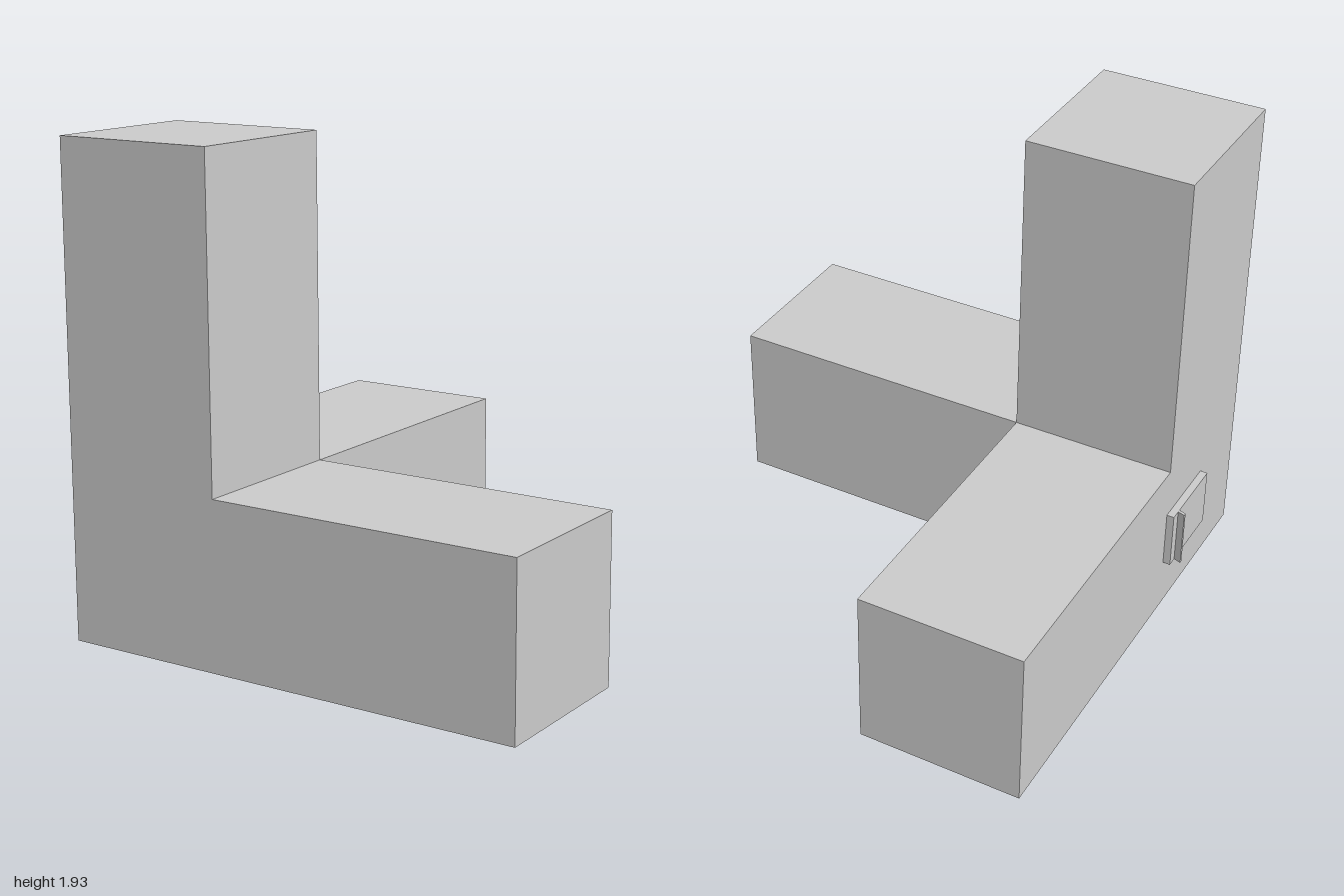
import * as THREE from 'three';

const material = new THREE.MeshStandardMaterial({ color: 0xcccccc, flatShading: true });

// Extrudes a 2D outline by depth along +z
function prism(name, points, depth) {
  const shape = new THREE.Shape(points.map(([x, y]) => new THREE.Vector2(x, y)));
  const geometry = new THREE.ExtrudeGeometry(shape, { depth, bevelEnabled: false });
  const mesh = new THREE.Mesh(geometry, material);
  mesh.name = name;
  return mesh;
}

// Box given by its two opposite corners
function block(name, min, max) {
  const size = max.map((v, i) => v - min[i]);
  const mesh = new THREE.Mesh(new THREE.BoxGeometry(...size), material);
  mesh.position.set(...max.map((v, i) => (v + min[i]) / 2));
  mesh.name = name;
  return mesh;
}

export function createModel() {
  const group = new THREE.Group();
  group.name = 'cornerBlock';

  const side = -0.94, inner = -0.27, end = 1.0; // x
  const arm = 0.665, top = 1.935;               // y
  const back = -0.95, rear = 0.285, front = 0.95; // z

  // Upright tower and sideways arm as one L-shaped body
  const body = prism('towerAndSideArm', [
    [side, 0], [end, 0], [end, arm], [inner, arm], [inner, top], [side, top],
  ], front - rear);
  body.position.z = rear;
  group.add(body);

  // Arm running to the back
  group.add(block('backArm', [side, 0, back], [inner, arm, rear]));

  // Small door on the outer side
  const low = 0.215, high = 0.455, face = -0.97;
  group.add(block('doorPanel', [face, low, rear], [side, high, 0.615]));

  // Thin slanted handle strip; outline in (x, -z), extruded upwards
  const handle = prism('doorHandle', [
    [face, -0.339], [face, -0.326], [-1, -0.317], [-1, -0.33],
  ], high - low);
  handle.rotation.x = -Math.PI / 2;
  handle.position.y = low;
  group.add(handle);

  return group;
}
